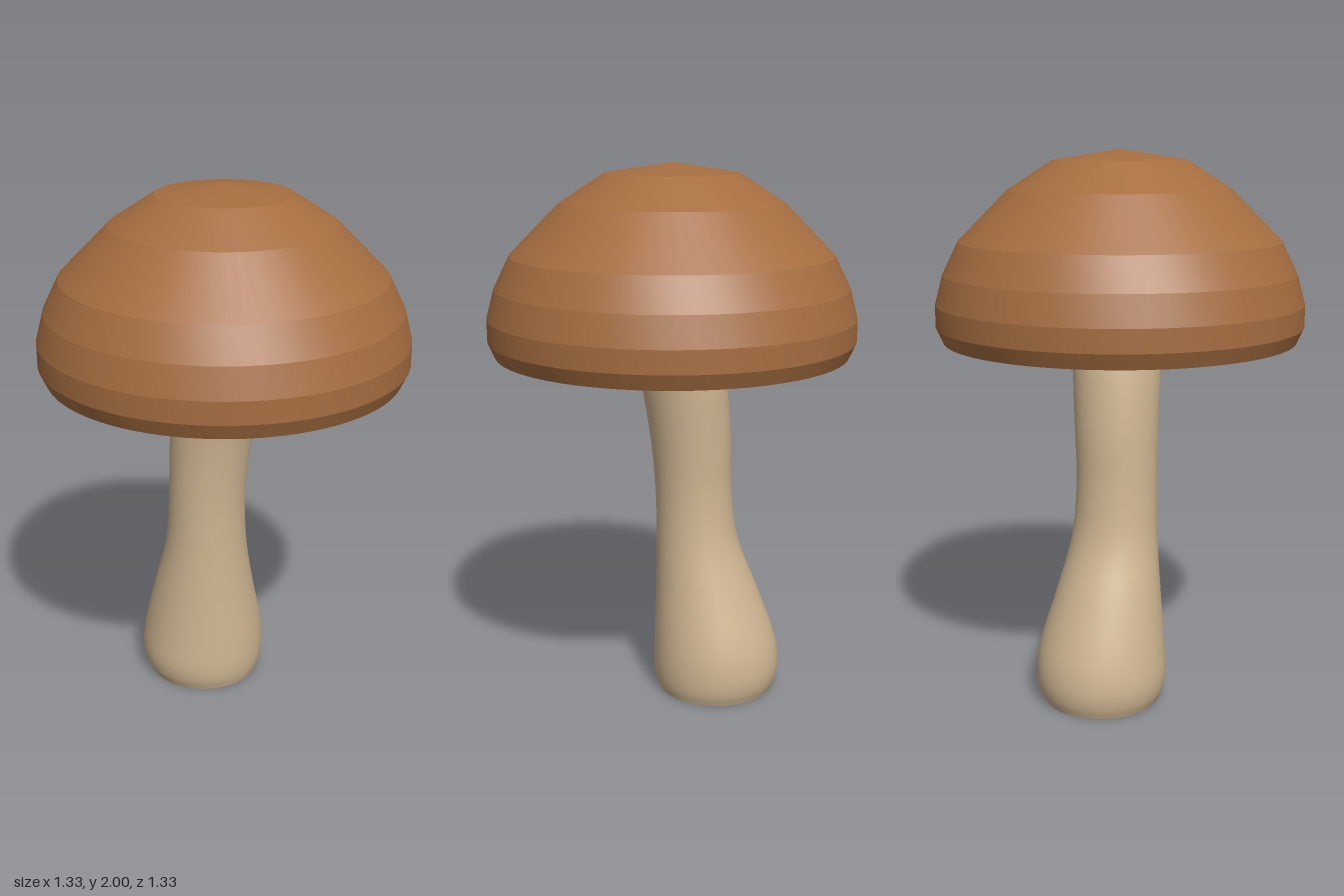
import * as THREE from 'three';
import { toCreasedNormals } from 'three/addons/utils/BufferGeometryUtils.js';

const capBrown = new THREE.MeshStandardMaterial({ color: 0xa56d40 });
capBrown.name = 'cap brown';
const stemCream = new THREE.MeshStandardMaterial({ color: 0xcfb692 });
stemCream.name = 'stem cream';

// Stem sections: height, then x and z extents
const STEM = [
  [0, -0.17, 0.262, -0.388, 0.055],
  [0.04, -0.187, 0.278, -0.403, 0.067],
  [0.1, -0.196, 0.286, -0.41, 0.073],
  [0.2, -0.19, 0.276, -0.395, 0.071],
  [0.4, -0.171, 0.217, -0.328, 0.059],
  [0.6, -0.154, 0.164, -0.256, 0.051],
  [0.8, -0.15, 0.147, -0.232, 0.054],
  [1.0, -0.151, 0.154, -0.226, 0.075],
  [1.2, -0.156, 0.164, -0.206, 0.11],
  [1.32, -0.157, 0.166, -0.185, 0.135],
  [1.52, -0.157, 0.166, -0.145, 0.18],
];

// Smooth closed rings lofted through the stem sections
function stemGeometry(sides = 48, rows = 40) {
  const middle = new THREE.CatmullRomCurve3(
    STEM.map(([y, x0, x1, z0, z1]) => new THREE.Vector3((x0 + x1) / 2, y, (z0 + z1) / 2)));
  const radii = new THREE.CatmullRomCurve3(
    STEM.map(([y, x0, x1, z0, z1]) => new THREE.Vector3((x1 - x0) / 2, y, (z1 - z0) / 2)));
  const positions = [], index = [];
  for (let i = 0; i <= rows; i++) {
    const c = middle.getPoint(i / rows), r = radii.getPoint(i / rows);
    for (let j = 0; j < sides; j++) {
      const a = (j / sides) * Math.PI * 2;
      positions.push(c.x + r.x * Math.sin(a), c.y, c.z + r.z * Math.cos(a));
      if (i === rows) continue;
      const p = i * sides + j, q = i * sides + ((j + 1) % sides);
      index.push(p, q, q + sides, p, q + sides, p + sides);
    }
  }
  const g = new THREE.BufferGeometry();
  g.setAttribute('position', new THREE.Float32BufferAttribute(positions, 3));
  g.setIndex(index);
  g.computeVertexNormals();
  return g;
}

export function createModel() {
  const model = new THREE.Group();
  model.name = 'mushroom';

  const add = (name, geometry, material) => {
    const mesh = new THREE.Mesh(geometry, material);
    mesh.name = name;
    model.add(mesh);
    return mesh;
  };

  // Cap: socket, recessed underside, rim and banded dome in one profile
  const profile = [
    [0, 1.53], [0.17, 1.5], [0.235, 1.42], [0.625, 1.39], [0.64, 1.325],
    [0.665, 1.38], [0.665, 1.46], [0.637, 1.565], [0.58, 1.68],
    [0.4, 1.86], [0.24, 1.963], [0, 2],
  ].map(([r, y]) => new THREE.Vector2(r, y));
  add('cap', toCreasedNormals(new THREE.LatheGeometry(profile, 64), 0.15), capBrown);

  // Stem and its flat foot
  add('stem', stemGeometry(), stemCream);
  const [, x0, x1, z0, z1] = STEM[0];
  const foot = new THREE.CircleGeometry(1, 48)
    .rotateX(Math.PI / 2)
    .scale((x1 - x0) / 2, 1, (z1 - z0) / 2)
    .translate((x0 + x1) / 2, 0, (z0 + z1) / 2);
  add('stemFoot', foot, stemCream);

  return model;
}
